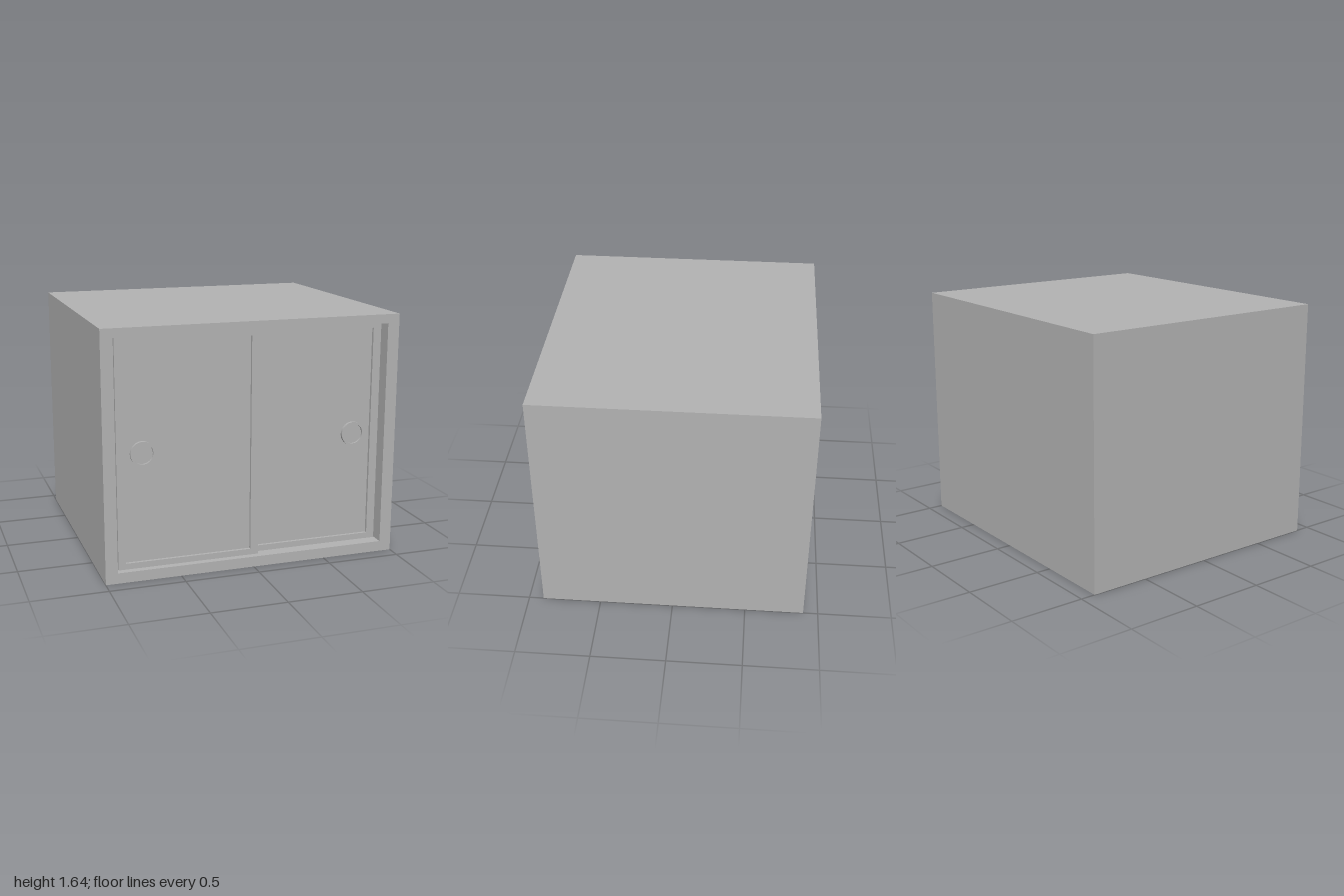
import * as THREE from 'three';

const grey = new THREE.MeshStandardMaterial({ color: 0xb2b2b2 });
grey.name = 'cabinetGrey';

function add(parent, name, geometry, x = 0, y = 0, z = 0) {
  const mesh = new THREE.Mesh(geometry, grey);
  mesh.name = name;
  mesh.position.set(x, y, z);
  parent.add(mesh);
  return mesh;
}

// Rectangle corners, counter-clockwise
const rect = (x0, y0, x1, y1) => [[x0, y0], [x1, y0], [x1, y1], [x0, y1]].map(p => new THREE.Vector2(...p));

// Rectangular frame with a rectangular hole, from z = 0 to z = depth
function frame(outer, inner, depth) {
  const shape = new THREE.Shape(rect(...outer));
  shape.holes.push(new THREE.Path(rect(...inner).reverse()));
  return new THREE.ExtrudeGeometry(shape, { depth, bevelEnabled: false });
}

// Sliding door: frame, recessed panel and round finger pull
function door(name, x0, frontZ, pullX) {
  const group = new THREE.Group();
  group.name = name;
  const x1 = x0 + 0.95, y0 = 0.07, y1 = 1.58, thick = 0.04, recess = 0.02;
  add(group, 'doorFrame', frame([x0, y0, x1, y1], [x0 + 0.05, 0.11, x1 - 0.055, 1.54], thick), 0, 0, frontZ - thick);
  add(group, 'doorPanel', new THREE.BoxGeometry(0.845, 1.43, 0.02), x0 + 0.4725, 0.825, frontZ - recess - 0.01);

  // Raised rim around a shallow dish
  const ring = new THREE.Shape().absarc(0, 0, 0.08, 0, Math.PI * 2);
  ring.holes.push(new THREE.Path().absarc(0, 0, 0.068, 0, Math.PI * 2, true));
  const rim = new THREE.ExtrudeGeometry(ring, { depth: 0.02, bevelEnabled: false, curveSegments: 40 });
  add(group, 'pullRim', rim, pullX, 0.828, frontZ - recess);
  const dish = new THREE.CylinderGeometry(0.069, 0.069, 0.005, 40).rotateX(Math.PI / 2);
  add(group, 'pullDish', dish, pullX, 0.828, frontZ - recess + 0.0025);
  return group;
}

export function createModel() {
  const model = new THREE.Group();
  model.name = 'slidingDoorCabinet';

  // Carcass: four walls as one sleeve, closed by a back panel
  add(model, 'carcass', frame([-1, 0, 1, 1.64], [-0.92, 0.07, 0.92, 1.58], 1.74), 0, 0, -0.84);
  add(model, 'backPanel', new THREE.BoxGeometry(2, 1.64, 0.06), 0, 0.82, -0.87);

  // Front door slides on the outer track, the other one behind it
  model.add(door('rightFrontDoor', -0.905, 0.855, -0.733));
  model.add(door('leftRearDoor', -0.035, 0.813, 0.733));
  return model;
}
